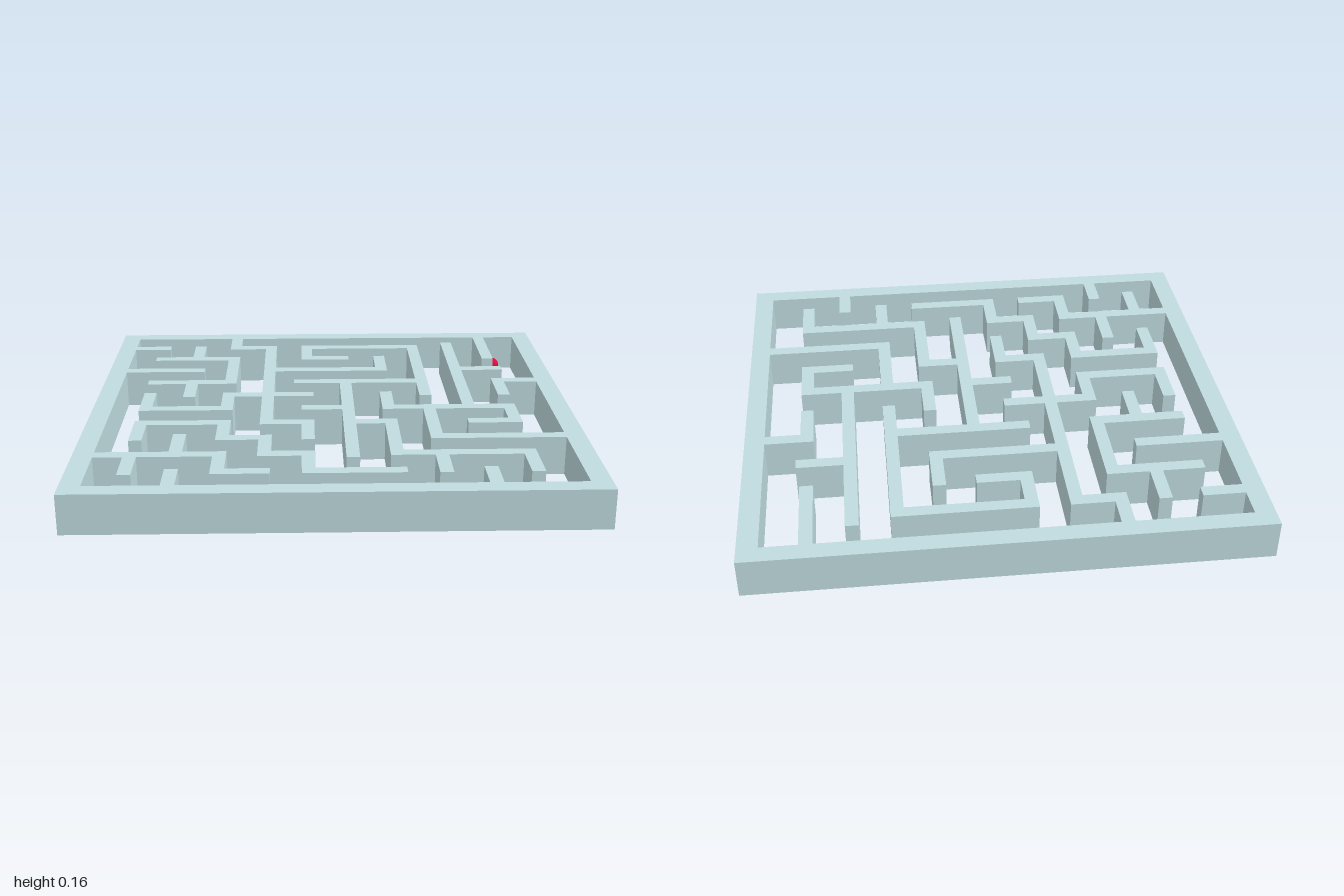
import * as THREE from 'three';

const LOW = 0.005, HIGH = 0.163; // bottom and top of all walls
const HALF = 0.026;              // half the inner wall thickness

// The inner walls follow a regular lattice of columns and rows
const columnX = (c) => -0.78 + 0.17 * c;
const rowZ = (r) => -0.75 + 0.169 * r;

// Each wall: start column, start row, then runs alternately along x and z
const WALLS = [
  // upper left
  [-1, 0, 1], [1, 0, 0, 1], [0, 1, 2, 2, -2], [1, 3, 0, 1], [-1, 2, 2.1],
  // long wall down from the back edge, with its branches
  [2, -1, 0, 1, 1, 6, 1, 1], [3, 2, 3, -1], [4, 4, -2, 1, -2, -1],
  // hook and the central wall
  [5, 1, -1, -1, 3, 4], [3.8, 3, 3.2], [5, 3, 0, 5.1], [4, 5, 1],
  [5, 6, 1, 2, 3, 1], [7, 8, 0, 1],
  // right
  [9, -1, 0, 2], [8, -0.2, 0, 5.2], [8, 2, 1.1], [10, 3, -1, 1],
  [6, 4, 0, 1, 3, 1, -1], [7, 5, 0, 2, 3],
  // lower left
  [0, 7, 0, -1, 2, 1, 1, 1, 1, 1, 2], [-1, 8, 3, 1, 1], [0, 8, 0, 1], [1, 6.9, 0, 1.1],
  // stubs on the front edge
  [1, 9, 0, 1], [8, 9, 0, 1],
];

// Rectangles [x0, z0, x1, z1] covering the runs of one wall
function wallRects([startColumn, startRow, ...runs]) {
  let c = startColumn, r = startRow;
  return runs.map((run, k) => {
    const fromC = c, fromR = r;
    if (k % 2 === 0) c += run;
    else r += run;
    return [
      columnX(Math.min(fromC, c)) - HALF, rowZ(Math.min(fromR, r)) - HALF,
      columnX(Math.max(fromC, c)) + HALF, rowZ(Math.max(fromR, r)) + HALF,
    ];
  });
}

// One closed solid from overlapping rectangles:
// cut the plan into cells and keep only the faces on the outside.
function unionGeometry(rects) {
  const sorted = (list) => [...new Set(list.map((v) => +v.toFixed(3)))].sort((a, b) => a - b);
  const xs = sorted(rects.flatMap((r) => [r[0], r[2]]));
  const zs = sorted(rects.flatMap((r) => [r[1], r[3]]));
  const filled = xs.slice(1).map((x, i) => zs.slice(1).map((z, j) => {
    const cx = (x + xs[i]) / 2, cz = (z + zs[j]) / 2;
    return rects.some((r) => cx > r[0] && cx < r[2] && cz > r[1] && cz < r[3]);
  }));
  const has = (i, j) => Boolean(filled[i] && filled[i][j]);

  const pos = [];
  const quad = (a, b, c, d) => pos.push(...a, ...b, ...c, ...a, ...c, ...d);
  const side = (xa, za, xb, zb) =>
    quad([xa, LOW, za], [xb, LOW, zb], [xb, HIGH, zb], [xa, HIGH, za]);

  for (let i = 0; i < xs.length - 1; i++) {
    for (let j = 0; j < zs.length - 1; j++) {
      if (!has(i, j)) continue;
      const x0 = xs[i], x1 = xs[i + 1], z0 = zs[j], z1 = zs[j + 1];
      quad([x0, HIGH, z0], [x0, HIGH, z1], [x1, HIGH, z1], [x1, HIGH, z0]);
      quad([x0, LOW, z0], [x1, LOW, z0], [x1, LOW, z1], [x0, LOW, z1]);
      if (!has(i, j + 1)) side(x0, z1, x1, z1);
      if (!has(i, j - 1)) side(x1, z0, x0, z0);
      if (!has(i + 1, j)) side(x1, z1, x1, z0);
      if (!has(i - 1, j)) side(x0, z0, x0, z1);
    }
  }
  const geometry = new THREE.BufferGeometry();
  geometry.setAttribute('position', new THREE.Float32BufferAttribute(pos, 3));
  geometry.computeVertexNormals();
  return geometry;
}

export function createModel() {
  const model = new THREE.Group();
  model.name = 'maze';

  // Outer frame and inner walls, open at the top and bottom
  const frameRects = [
    [-1, -0.97, 1, -0.895], [-1, 0.895, 1, 0.97],
    [-1, -0.97, -0.92, 0.97], [0.92, -0.97, 1, 0.97],
  ];
  const walls = new THREE.Mesh(
    unionGeometry([...frameRects, ...WALLS.flatMap(wallRects)]),
    new THREE.MeshStandardMaterial({ color: 0xbfdbde }),
  );
  walls.name = 'mazeWalls';
  model.add(walls);

  // Start and finish balls
  const ballGeometry = new THREE.SphereGeometry(0.033, 32, 20);
  const addBall = (name, color, x, z) => {
    const ball = new THREE.Mesh(ballGeometry, new THREE.MeshStandardMaterial({ color }));
    ball.name = name;
    ball.position.set(x, 0.033, z);
    model.add(ball);
  };
  addBall('startBall', 0x00e033, -0.86, 0.713);
  addBall('finishBall', 0xdc0a3c, 0.82, -0.86);

  return model;
}
